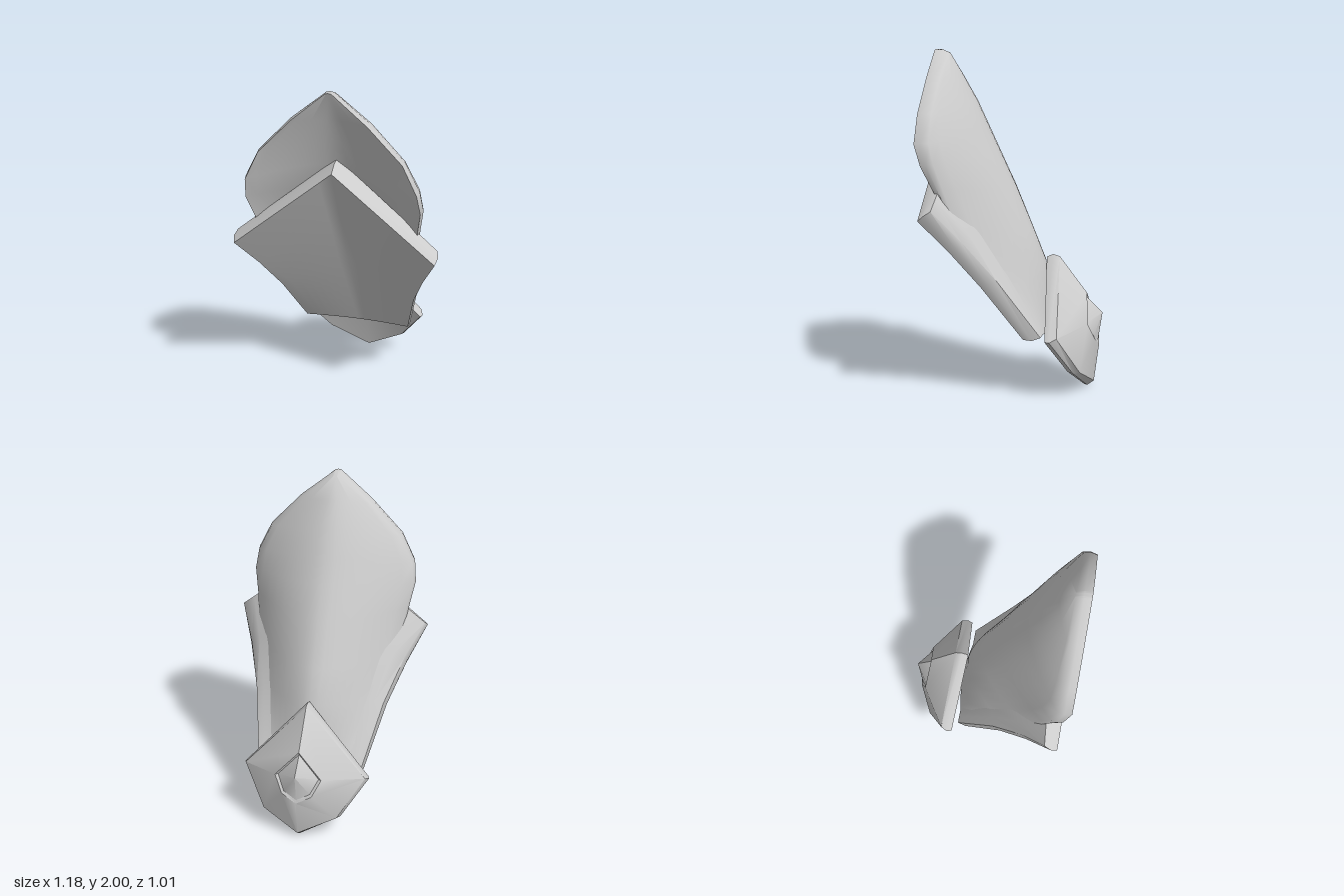
import * as THREE from 'three';
import { toCreasedNormals } from 'three/addons/utils/BufferGeometryUtils.js';

const COLS = 16;

// Geometry from a list of polygons (triangles or quads of Vector3)
function fromFaces(faces, crease) {
  const pos = [];
  for (const f of faces) {
    for (let k = 1; k < f.length - 1; k++) {
      for (const p of [f[0], f[k], f[k + 1]]) pos.push(p.x, p.y, p.z);
    }
  }
  const g = new THREE.BufferGeometry();
  g.setAttribute('position', new THREE.Float32BufferAttribute(pos, 3));
  return toCreasedNormals(g, crease);
}

// Grid of points: each row is [edgeX, edgeY, edgeZ, spineY, spineZ], mirrored about x = 0;
// the powers set how roundly height and depth run from spine to edge
function makeGrid(rows, powerY, powerZ) {
  return rows.map(([ex, ey, ez, sy, sz]) => {
    const line = [];
    for (let j = 0; j <= COLS; j++) {
      const t = (j / COLS) * 2 - 1;
      const wy = Math.abs(t) ** powerY;
      const wz = Math.abs(t) ** powerZ;
      line.push(new THREE.Vector3(ex * t, sy + (ey - sy) * wy, sz + (ez - sz) * wz));
    }
    return line;
  });
}

// Closed plate between a front and a back grid, with a softly rounded rim
function makePlate(front, back, bulge, midY, crease) {
  const faces = [];
  const last = front.length - 1;
  for (let i = 0; i < last; i++) {
    for (let j = 0; j < COLS; j++) {
      faces.push([front[i][j], front[i + 1][j], front[i + 1][j + 1], front[i][j + 1]]);
      faces.push([back[i][j], back[i][j + 1], back[i + 1][j + 1], back[i + 1][j]]);
    }
  }
  // Border walked anticlockwise as seen from the front
  const border = [];
  for (let i = 0; i < last; i++) border.push([i, 0]);
  for (let j = 0; j < COLS; j++) border.push([last, j]);
  for (let i = last; i > 0; i--) border.push([i, COLS]);
  for (let j = COLS; j > 0; j--) border.push([0, j]);
  const mid = border.map(([i, j]) => {
    const m = front[i][j].clone().lerp(back[i][j], 0.5);
    const out = new THREE.Vector3(m.x, m.y - midY, 0).normalize();
    return m.addScaledVector(out, bulge);
  });
  border.forEach(([i, j], k) => {
    const n = (k + 1) % border.length;
    const [p, q] = border[n];
    faces.push([front[i][j], mid[k], mid[n], front[p][q]]);
    faces.push([mid[k], back[i][j], back[p][q], mid[n]]);
  });
  return fromFaces(faces, crease);
}

// Six-sided mirrored ring: top, side, lower and bottom corners
function makeRing([top, side, low, bottom]) {
  const v = ([x, y, z], s = 1) => new THREE.Vector3(x * s, y, z);
  return [v(top), v(side, -1), v(low, -1), v(bottom), v(low), v(side)];
}

// Faces joining rings from front to back, closed by a point at each end
function makeCap(frontPoint, rings, backPoint) {
  const faces = [];
  const end = rings[rings.length - 1];
  for (let k = 0; k < 6; k++) {
    const n = (k + 1) % 6;
    faces.push([frontPoint, rings[0][k], rings[0][n]]);
    for (let r = 0; r < rings.length - 1; r++) {
      faces.push([rings[r][k], rings[r + 1][k], rings[r + 1][n], rings[r][n]]);
    }
    faces.push([backPoint, end[n], end[k]]);
  }
  return fromFaces(faces, 0.6);
}

export function createModel() {
  const group = new THREE.Group();
  const steel = new THREE.MeshStandardMaterial({ color: 0xcccccc });
  steel.name = 'pale grey';
  const add = (name, geometry) => {
    const mesh = new THREE.Mesh(geometry, steel);
    mesh.name = name;
    group.add(mesh);
  };

  // Tall curved shell with a pointed top
  const shellBack = makeGrid([
    [0.02, 1.975, 0.415, 1.975, 0.41],
    [0.215, 1.825, 0.42, 1.85, 0.335],
    [0.4, 1.63, 0.42, 1.7, 0.25],
    [0.48, 1.475, 0.415, 1.55, 0.18],
    [0.495, 1.36, 0.385, 1.4, 0.11],
    [0.47, 1.22, 0.34, 1.2, 0.015],
    [0.43, 0.95, 0.24, 0.95, -0.09],
    [0.355, 0.72, 0.07, 0.75, -0.17],
    [0.3, 0.5, -0.09, 0.5, -0.205],
    [0.27, 0.36, -0.18, 0.35, -0.22],
  ], 1.6, 1.6);
  const shellFront = makeGrid([
    [0.02, 1.99, 0.5, 1.995, 0.5],
    [0.21, 1.83, 0.5, 1.83, 0.44],
    [0.4, 1.635, 0.5, 1.68, 0.39],
    [0.48, 1.47, 0.5, 1.55, 0.345],
    [0.495, 1.35, 0.46, 1.4, 0.29],
    [0.47, 1.22, 0.4, 1.2, 0.17],
    [0.43, 0.95, 0.27, 0.95, 0.02],
    [0.35, 0.72, 0.1, 0.75, -0.08],
    [0.29, 0.5, -0.06, 0.5, -0.16],
    [0.26, 0.36, -0.15, 0.35, -0.18],
  ], 1.6, 1.6);
  add('backShell', makePlate(shellFront, shellBack, 0.01, 1.2, 0.9));

  // Pentagonal front plate with flanges standing out at both sides
  const plateFront = makeGrid([
    [0.58, 1.055, 0.455, 1.53, 0.455],
    [0.49, 0.87, 0.3, 1.23, 0.3],
    [0.405, 0.66, 0.14, 0.86, 0.11],
    [0.325, 0.345, -0.09, 0.34, -0.12],
  ], 1, 1.6);
  const plateBack = makeGrid([
    [0.58, 1.11, 0.38, 1.58, 0.34],
    [0.485, 0.93, 0.23, 1.23, 0.1],
    [0.4, 0.7, 0.05, 0.88, -0.02],
    [0.32, 0.36, -0.19, 0.36, -0.19],
  ], 1, 1.6);
  add('frontPlate', makePlate(plateFront, plateBack, 0.012, 0.9, 0.8));

  // Faceted hollow joint cap at the foot, with a low spike set in a groove on its back
  const spikeBase = [[0, 0.565, -0.415], [0.14, 0.41, -0.437], [0.09, 0.31, -0.475], [0, 0.26, -0.49]];
  const spikeGroove = spikeBase.map(([x, y, z]) => [x * 0.88, 0.42 + (y - 0.42) * 0.88, z + 0.008]);
  add('jointCap', makeCap(
    new THREE.Vector3(0, 0.4, -0.3),
    [
      [[0, 0.775, -0.172], [0.375, 0.35, -0.222], [0.235, 0.145, -0.335], [0, 0.005, -0.402]],
      [[0, 0.792, -0.21], [0.386, 0.35, -0.25], [0.242, 0.135, -0.37], [0, 0, -0.42]],
      [[0, 0.78, -0.25], [0.37, 0.37, -0.29], [0.225, 0.14, -0.405], [0, 0.03, -0.46]],
      spikeBase,
      spikeGroove,
    ].map(makeRing),
    new THREE.Vector3(0, 0.45, -0.508),
  ));
  return group;
}
